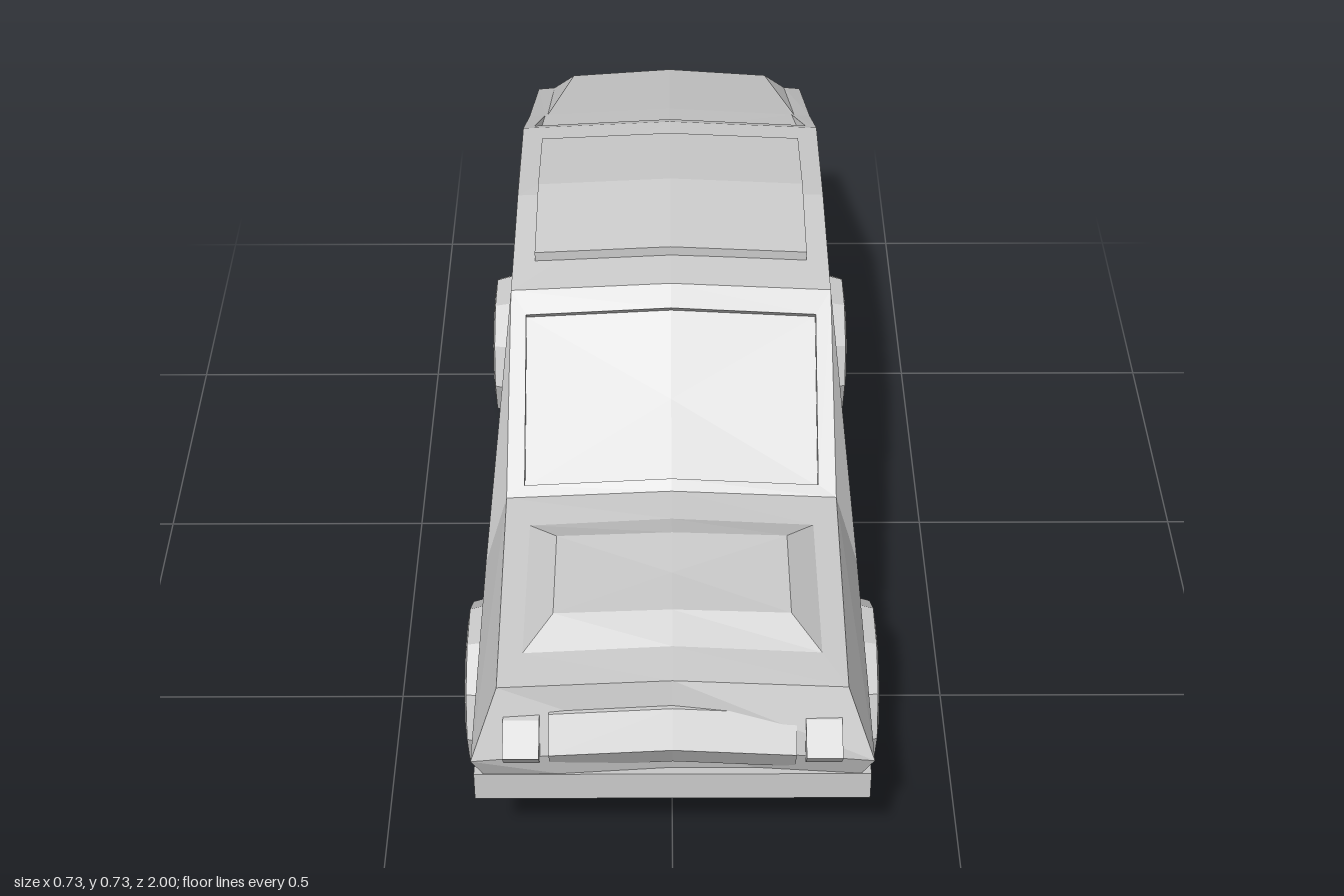
import * as THREE from 'three';

const grey = new THREE.MeshStandardMaterial({ color: 0xcccccc, flatShading: true, side: THREE.DoubleSide });

function mesh(name, geometry) {
  const m = new THREE.Mesh(geometry, grey);
  m.name = name;
  return m;
}

// Skin a list of equal-length point rows; optionally close each row and cap the last one.
function skin(name, rows, closed = false, cap = false) {
  const pos = [], n = rows[0].length;
  const tri = (a, b, c) => pos.push(...a, ...b, ...c);
  for (let i = 0; i + 1 < rows.length; i++) {
    for (let j = 0; j < (closed ? n : n - 1); j++) {
      const k = (j + 1) % n, a = rows[i][j], b = rows[i][k], c = rows[i + 1][k], d = rows[i + 1][j];
      tri(a, d, c);
      tri(a, c, b);
    }
  }
  if (cap) {
    const last = rows[rows.length - 1];
    const mid = [0, 1, 2].map(i => last.reduce((s, p) => s + p[i], 0) / n);
    last.forEach((p, j) => tri(p, mid, last[(j + 1) % n]));
  }
  const g = new THREE.BufferGeometry();
  g.setAttribute('position', new THREE.Float32BufferAttribute(pos, 3));
  g.computeVertexNormals();
  return mesh(name, g);
}

// Loop across the car: [halfWidth, edgeY, z, crown] at the far end, then at the near end.
const across = (x, y, z, crown = 0.015) => [[-x, y, z], [0, y + crown, z], [x, y, z]];
const loop = (far, near) => [...across(...far), ...across(...near).reverse()];
const shift = (pts, dy, dz) => pts.map(([x, y, z]) => [x, y + dy, z + dz]);

// Bar of constant [z, y] profile, centred on x, with its top line falling towards the ends.
function bar(name, profile, width, x = 0, droop = 0) {
  const shape = new THREE.Shape(profile.map(p => new THREE.Vector2(...p)));
  const g = new THREE.ExtrudeGeometry(shape, { depth: width, steps: 2, bevelEnabled: false });
  g.translate(0, 0, -width / 2).rotateY(-Math.PI / 2);
  const p = g.attributes.position;
  for (let i = 0; i < p.count; i++) p.setY(i, p.getY(i) - droop * Math.abs(p.getX(i)));
  return mesh(name, g.translate(x, 0, 0));
}

function wheel(side, z) {
  const profile = [[0, 0.272], [0.135, 0.272], [0.146, 0.317], [0.135, 0.36], [0.105, 0.365],
    [0.085, 0.345], [0.066, 0.345], [0.06, 0.366], [0, 0.366]].map(p => new THREE.Vector2(...p));
  const g = new THREE.LatheGeometry(profile, 10).rotateZ(-Math.PI / 2).scale(1, 1, 1.12);
  if (side < 0) g.rotateY(Math.PI);
  const m = mesh((side > 0 ? 'left' : 'right') + (z > 0 ? 'Front' : 'Rear') + 'Wheel', g);
  m.position.set(0, 0.139, z);
  return m;
}

// Flank of the body on one side (s = 1 left, -1 right)
function flank(s) {
  const group = new THREE.Group();
  group.name = s > 0 ? 'leftSide' : 'rightSide';
  const side = pts => pts.map(([x, y, z]) => [s * x, y, z]);
  const add = (name, ...rows) => group.add(skin(name, rows.map(side)));

  add('fender',
    [[0.29, 0.18, 0.92], [0.335, 0.3, 0.97], [0.29, 0.42, 0.92]],
    [[0.295, 0.18, 0.5], [0.335, 0.3, 0.47], [0.295, 0.42, 0.43]]);
  add('cowlSide',
    [[0.295, 0.18, 0.5], [0.335, 0.3, 0.47], [0.295, 0.42, 0.43]],
    [[0.305, 0.18, 0.14], [0.31, 0.38, 0.14], [0.291, 0.67, 0.14]]);
  add('sill',
    [[0.305, 0.18, 0.14], [0.31, 0.38, 0.14]],
    [[0.305, 0.18, -0.42], [0.31, 0.38, -0.42]]);
  add('rearQuarter',
    [[0.305, 0.18, -0.42], [0.31, 0.38, -0.42], [0.291, 0.67, -0.42]],
    [[0.302, 0.18, -0.58], [0.307, 0.37, -0.58], [0.287, 0.6, -0.58]],
    [[0.285, 0.18, -0.94], [0.292, 0.34, -0.94], [0.285, 0.45, -0.94]]);

  // door panel with the window opening, leaning inwards with height
  const lean = y => 0.31 - (y - 0.38) * 0.0655;
  const win = [[0.085, 0.41], [-0.36, 0.41], [-0.36, 0.605], [-0.01, 0.605], [0.085, 0.51]];
  const v = pts => pts.map(p => new THREE.Vector2(...p));
  const shape = new THREE.Shape(v([[0.14, 0.38], [0.14, 0.67], [-0.13, 0.7], [-0.42, 0.67], [-0.42, 0.38]]));
  shape.holes.push(new THREE.Path(v(win)));
  const g = new THREE.ShapeGeometry(shape), p = g.attributes.position;
  for (let i = 0; i < p.count; i++) {
    const z = p.getX(i), y = p.getY(i);
    p.setXYZ(i, s * lean(y), y, z);
  }
  if (s > 0) g.index.array.reverse();
  g.computeVertexNormals();
  group.add(mesh('door', g));
  const rim = d => side(win.map(([z, y]) => [lean(y) - d, y, z]));
  group.add(skin('sideWindow', [rim(0), rim(0.025)], true, true));
  return group;
}

export function createModel() {
  const car = new THREE.Group();
  car.name = 'car';
  car.add(flank(1), flank(-1));

  // underside
  car.add(skin('floor', [
    [[-0.29, 0.18, 0.92], [0.29, 0.18, 0.92]], [[-0.295, 0.18, 0.5], [0.295, 0.18, 0.5]],
    [[-0.305, 0.18, 0.14], [0.305, 0.18, 0.14]], [[-0.305, 0.18, -0.42], [0.305, 0.18, -0.42]],
    [[-0.302, 0.18, -0.58], [0.302, 0.18, -0.58]], [[-0.285, 0.18, -0.94], [0.285, 0.18, -0.94]]]));

  // hood with its raised centre
  car.add(skin('hood', [
    loop([0.295, 0.42, 0.43], [0.29, 0.42, 0.92]),
    loop([0.25, 0.423, 0.51], [0.25, 0.423, 0.84]),
    loop([0.2, 0.458, 0.58, 0.008], [0.2, 0.458, 0.78, 0.008])], true, true));

  // windshield set into its frame
  const slope = y => 0.43 - (y - 0.42) * 1.16;
  const glass = loop([0.263, 0.64, slope(0.64)], [0.263, 0.435, slope(0.435)]);
  car.add(skin('windshield', [
    loop([0.291, 0.67, 0.14], [0.295, 0.42, 0.43]), glass, shift(glass, -0.015, -0.014)], true, true));

  // roof and roof panel
  car.add(skin('roof', [across(0.291, 0.67, 0.14), across(0.289, 0.7, -0.13, 0.012), across(0.291, 0.67, -0.42)]));
  const panel = new THREE.BoxGeometry(0.5, 0.03, 0.395, 2, 1, 2).translate(0, 0, -0.137);
  const pp = panel.attributes.position;
  for (let i = 0; i < pp.count; i++) {
    pp.setY(i, pp.getY(i) + 0.718 - 0.05 * Math.abs(pp.getX(i)) - 0.11 * Math.abs(pp.getZ(i) + 0.137));
  }
  car.add(mesh('roofPanel', panel));

  // fastback: plate sunk below the roof at the front, rising above the sides at the tail
  const tail = (top, mid, low) => {
    const [a, b] = [across(...top), across(...low).reverse()];
    return [...a, [mid[0], mid[1], mid[2]], ...b, [-mid[0], mid[1], mid[2]]];
  };
  car.add(skin('fastback', [
    tail([0.291, 0.67, -0.42], [0.287, 0.6, -0.58], [0.285, 0.45, -0.94]),
    tail([0.27, 0.657, -0.45], [0.255, 0.602, -0.58], [0.25, 0.462, -0.925]),
    tail([0.262, 0.632, -0.455], [0.25, 0.6, -0.585], [0.205, 0.522, -0.875])], true));
  car.add(skin('rearPlate', [
    across(0.262, 0.632, -0.455), across(0.25, 0.6, -0.585), across(0.205, 0.522, -0.875)]));

  // tail panel with lights
  const recess = loop([0.255, 0.405, -0.94], [0.255, 0.235, -0.94, 0]);
  car.add(skin('tailPanel', [
    loop([0.285, 0.45, -0.94], [0.285, 0.18, -0.94, 0]), recess, shift(recess, 0, 0.02)], true, true));
  for (const s of [1, -1]) {
    car.add(bar('tailLight', [[-0.93, 0.42], [-0.957, 0.395], [-0.957, 0.37], [-0.93, 0.34]], 0.03, s * 0.262));
  }

  // nose, grille and headlights
  car.add(skin('nose', [
    across(0.29, 0.42, 0.92),
    [[-0.335, 0.3, 0.97], [0, 0.31, 0.945], [0.335, 0.3, 0.97]],
    across(0.29, 0.18, 0.92, 0.005)]));
  car.add(bar('grille', [[0.92, 0.388], [0.937, 0.388], [0.975, 0.33], [0.942, 0.272], [0.92, 0.272]], 0.41, 0, 0.06));
  for (const s of [1, -1]) {
    car.add(bar('headlight', [[0.92, 0.375], [0.945, 0.37], [1, 0.335], [0.975, 0.302], [0.92, 0.295]], 0.06, s * 0.25));
  }

  // bumpers
  car.add(bar('frontBumper', [[0.95, 0.25], [0.79, 0.235], [0.79, 0.215], [0.95, 0.193]], 0.666));
  car.add(bar('rearBumper', [[-0.865, 0.235], [-1, 0.235], [-1, 0.187], [-0.865, 0.187]], 0.67));

  // wheels
  for (const s of [1, -1]) for (const z of [0.603, -0.425]) car.add(wheel(s, z));
  return car;
}
